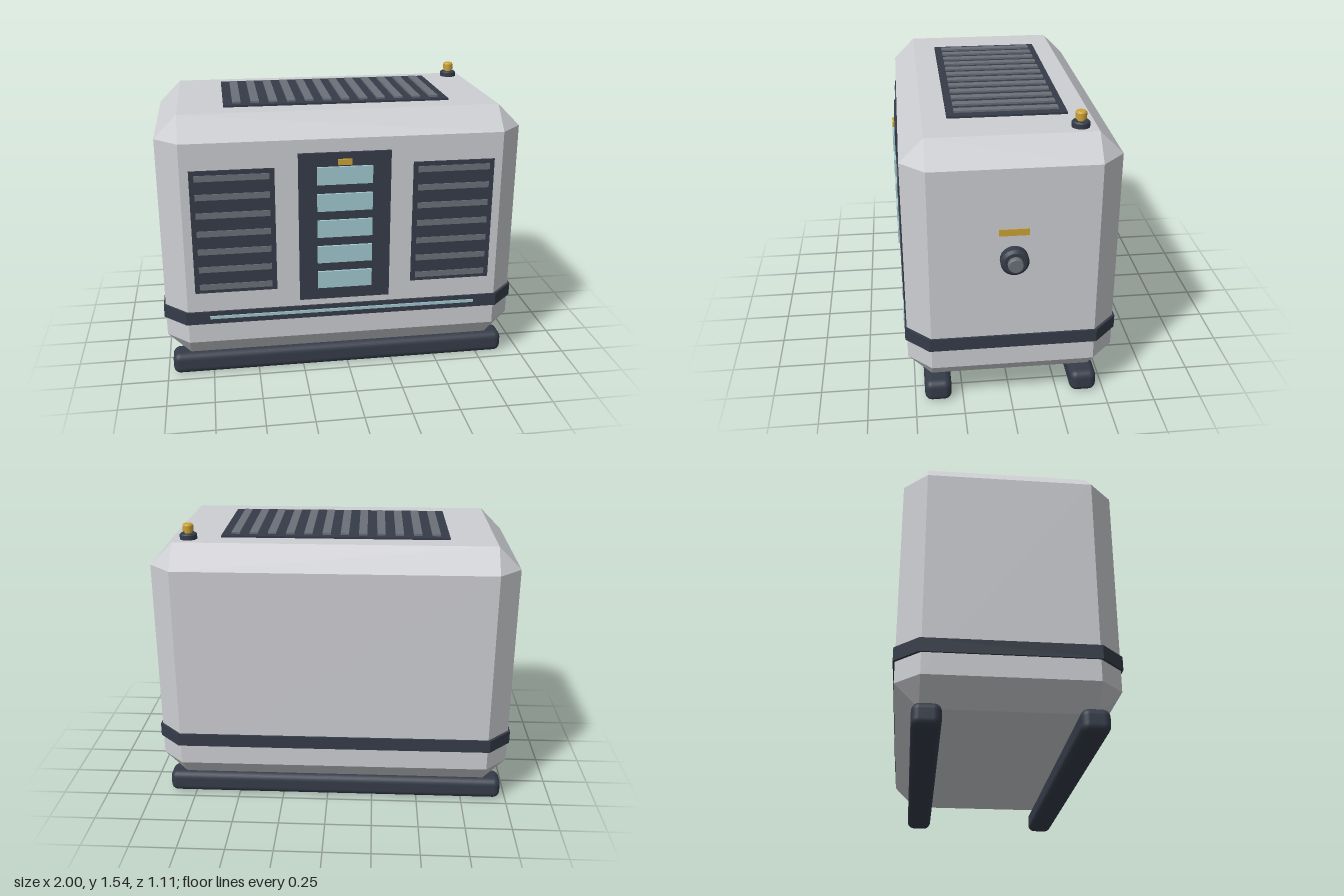
import * as THREE from 'three';
import { ConvexGeometry } from 'three/addons/geometries/ConvexGeometry.js';
import { RoundedBoxGeometry } from 'three/addons/geometries/RoundedBoxGeometry.js';

const material = (name, color) => {
  const m = new THREE.MeshStandardMaterial({ color });
  m.name = name;
  return m;
};

export function createModel() {
  const model = new THREE.Group();
  model.name = 'generator';
  const shell = material('shell grey', 0xcdced2);
  const dark = material('dark slate', 0x353c49);
  const slatGrey = material('slat grey', 0x6c7179);
  const aqua = material('pale aqua', 0xa2cad0);
  const gold = material('gold', 0xcda336);

  const add = (name, geometry, mat, parent = model) => {
    const mesh = new THREE.Mesh(geometry, mat);
    mesh.name = name;
    parent.add(mesh);
    return mesh;
  };
  const group = (name) => {
    const g = new THREE.Group();
    g.name = name;
    model.add(g);
    return g;
  };
  // Box given by its extents on each axis
  const box = (name, mat, [x0, x1], [y0, y1], [z0, z1], parent, radius = 0) => {
    const size = [x1 - x0, y1 - y0, z1 - z0];
    const geo = radius ? new RoundedBoxGeometry(...size, 3, radius) : new THREE.BoxGeometry(...size);
    geo.translate((x0 + x1) / 2, (y0 + y1) / 2, (z0 + z1) / 2);
    return add(name, geo, mat, parent);
  };

  // Housing: box with every edge cut at 45 degrees
  const cx = -0.035, cy = 0.79, cz = -0.0075;
  const hx = 0.955, hy = 0.67, hz = 0.5375, cut = 0.12;
  const corners = [];
  for (const sx of [-1, 1]) for (const sy of [-1, 1]) for (const sz of [-1, 1]) {
    for (let face = 0; face < 3; face++) {
      const inset = [0, 1, 2].map((axis) => (axis === face ? 0 : cut));
      corners.push(new THREE.Vector3(sx * (hx - inset[0]), sy * (hy - inset[1]), sz * (hz - inset[2])));
    }
  }
  add('housing', new ConvexGeometry(corners), shell).position.set(cx, cy, cz);

  // Belt around the lower housing
  const bx = hx + 0.01, bz = hz + 0.01;
  const outline = new THREE.Shape([
    [bx - cut, -bz], [bx, cut - bz], [bx, bz - cut], [bx - cut, bz],
    [cut - bx, bz], [-bx, bz - cut], [-bx, cut - bz], [cut - bx, -bz],
  ].map(([x, y]) => new THREE.Vector2(x, y)));
  const belt = new THREE.ExtrudeGeometry(outline, { depth: 0.07, bevelEnabled: false });
  belt.rotateX(-Math.PI / 2);
  add('belt', belt, dark).position.set(cx, 0.35, cz);
  box('beltLightStrip', aqua, [-0.755, 0.68], [0.38, 0.396], [0.538, 0.546]);

  // Skids
  for (const z of [0.38, -0.39]) {
    box('skid', dark, [-0.97, 0.895], [0, 0.12], [z - 0.07, z + 0.07], model, 0.038);
  }

  // Side louvres on the front
  for (const [side, x] of [['right', -0.61], ['left', 0.54]]) {
    const louvre = group(side + 'Louvre');
    box('louvrePanel', dark, [x - 0.215, x + 0.215], [0.53, 1.2], [0.52, 0.538], louvre);
    for (let i = 0; i < 7; i++) {
      const y = 0.565 + i * 0.0993;
      box('louvreSlat', slatGrey, [x - 0.19, x + 0.19], [y - 0.016, y + 0.016], [0.53, 0.542], louvre);
    }
  }

  // Centre panel with charge lights
  const panel = group('indicatorPanel');
  box('panelPlate', dark, [-0.275, 0.205], [0.46, 1.27], [0.52, 0.546], panel);
  for (let i = 0; i < 5; i++) {
    const y = 0.575 + i * 0.144;
    box('chargeLight', aqua, [-0.18, 0.108], [y - 0.047, y + 0.047], [0.54, 0.558], panel);
  }
  box('statusLight', gold, [-0.071, 0.001], [1.207, 1.237], [0.54, 0.558], panel);

  // Roof vent
  const vent = group('roofVent');
  box('ventPlate', dark, [-0.633, 0.562], [1.45, 1.47], [-0.315, 0.287], vent);
  for (let i = 0; i < 12; i++) {
    const x = -0.563 + i * 0.0958;
    box('ventSlat', slatGrey, [x - 0.022, x + 0.022], [1.46, 1.48], [-0.277, 0.248], vent);
  }

  // Stack of cylinders along y: [name, material, radius bottom, radius top, from, to]
  const stack = (parent, rows) => rows.forEach(([name, mat, r0, r1, y0, y1]) => {
    const geo = new THREE.CylinderGeometry(r1, r0, y1 - y0, 24);
    add(name, geo, mat, parent).position.y = (y0 + y1) / 2;
  });

  // Roof filler cap
  const filler = group('fillerCap');
  filler.position.set(0.728, 1.46, -0.345);
  stack(filler, [
    ['capBase', dark, 0.045, 0.045, -0.01, 0.024],
    ['capBaseBevel', dark, 0.045, 0.038, 0.024, 0.031],
    ['capNeck', gold, 0.019, 0.019, 0.03, 0.044],
    ['capHead', gold, 0.028, 0.028, 0.042, 0.072],
    ['capHeadBevel', gold, 0.028, 0.022, 0.072, 0.08],
  ]);

  // Outlet on the side
  const outlet = group('sideOutlet');
  outlet.position.set(0.92, 0.863, -0.005);
  outlet.rotation.z = -Math.PI / 2;
  stack(outlet, [
    ['outletCollar', dark, 0.07, 0.07, -0.01, 0.04],
    ['outletCollarBevel', dark, 0.07, 0.056, 0.04, 0.053],
    ['outletPlug', slatGrey, 0.038, 0.038, 0.05, 0.074],
    ['outletPlugBevel', slatGrey, 0.038, 0.034, 0.074, 0.08],
  ]);
  box('outletLabel', gold, [0.917, 0.925], [0.99, 1.025], [-0.08, 0.068]);

  return model;
}
